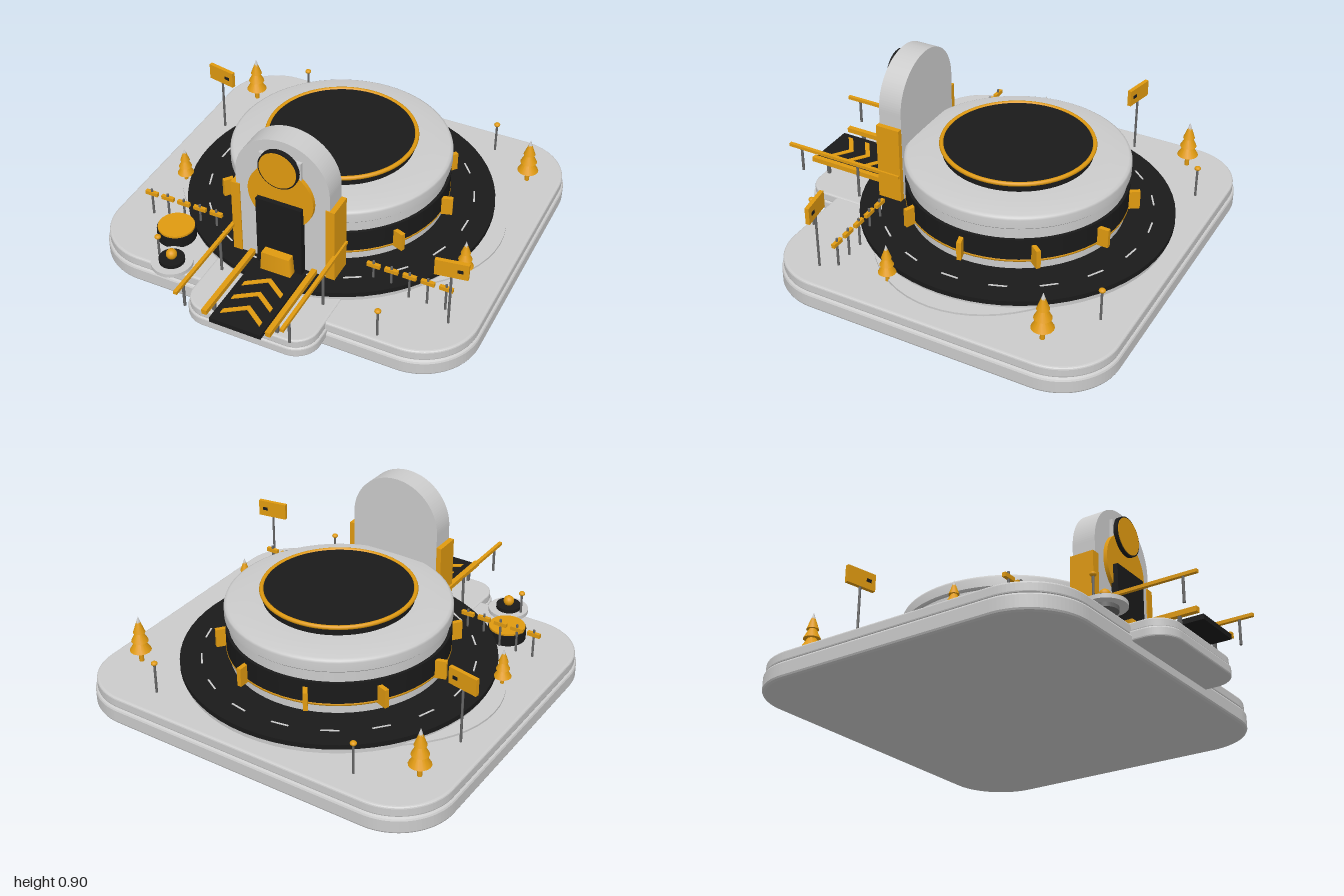
import * as THREE from 'three';

const mat = (color) => new THREE.MeshStandardMaterial({ color });
const WHITE = mat(0xcccccc), ORANGE = mat(0xe09a10), BLACK = mat(0x1a1a1a), STEEL = mat(0x666666);
const CZ = -0.145; // centre of the round building and road

export function createModel() {
  const root = new THREE.Group();

  const add = (name, geo, material, x = 0, y = 0, z = 0, parent = root) => {
    const m = new THREE.Mesh(geo, material);
    m.name = name;
    m.position.set(x, y, z);
    parent.add(m);
    return m;
  };
  const box = (name, material, w, h, d, x, y, z, parent) =>
    add(name, new THREE.BoxGeometry(w, h, d), material, x, y, z, parent);
  // upright cylinder given by its bottom and top heights
  const drum = (name, material, r, y0, y1, x = 0, z = 0, parent = root, seg = 32, rTop = r) =>
    add(name, new THREE.CylinderGeometry(rTop, r, y1 - y0, seg), material, x, (y0 + y1) / 2, z, parent);

  // rounded slab lying flat with bevelled edges
  const slab = (name, x0, x1, z0, z1, r, y0, y1, bevel, bevelH) => {
    const a = x0 + bevel, b = x1 - bevel, c = -z1 + bevel, d = -z0 - bevel, k = r - bevel;
    const s = new THREE.Shape();
    s.moveTo(a + k, c);
    s.absarc(b - k, c + k, k, -Math.PI / 2, 0);
    s.absarc(b - k, d - k, k, 0, Math.PI / 2);
    s.absarc(a + k, d - k, k, Math.PI / 2, Math.PI);
    s.absarc(a + k, c + k, k, Math.PI, Math.PI * 1.5);
    const g = new THREE.ExtrudeGeometry(s, {
      depth: y1 - y0 - 2 * bevelH, bevelSize: bevel, bevelThickness: bevelH, bevelSegments: 3, curveSegments: 12,
    });
    g.rotateX(-Math.PI / 2);
    return add(name, g, WHITE, 0, y0 + bevelH, 0);
  };

  // base and entrance pad, each in two layers
  slab('baseLower', -0.965, 0.965, -1, 0.71, 0.29, 0, 0.09, 0.03, 0.016);
  slab('baseUpper', -0.955, 0.955, -0.99, 0.70, 0.28, 0.085, 0.14, 0.012, 0.01);
  slab('padLower', -0.333, 0.333, 0.4, 0.885, 0.12, 0.052, 0.105, 0.012, 0.01);
  slab('padUpper', -0.325, 0.325, 0.41, 0.877, 0.115, 0.1, 0.146, 0.01, 0.008);

  // road
  const apron = drum('groundEllipse', WHITE, 0.845, 0.13, 0.15, 0, CZ, root, 64);
  apron.scale.z = 0.75;
  drum('roadBed', WHITE, 0.755, 0.14, 0.168, 0, CZ, root, 64);
  drum('road', BLACK, 0.765, 0.168, 0.192, 0, CZ, root, 64);
  for (let i = 0; i < 18; i++) {
    const a = (i + 0.5) * Math.PI / 9 + Math.PI / 2;
    const dash = box('roadDash', WHITE, 0.008, 0.004, 0.085, Math.cos(a) * 0.66, 0.193, CZ + Math.sin(a) * 0.66);
    dash.rotation.y = -a;
  }

  // round building
  drum('buildingFoot', WHITE, 0.525, 0.19, 0.245, 0, CZ, root, 64);
  drum('windowBand', BLACK, 0.54, 0.25, 0.36, 0, CZ, root, 64);
  drum('upperWall', WHITE, 0.525, 0.36, 0.42, 0, CZ, root, 64);
  const trim = add('footTrim', new THREE.TorusGeometry(0.53, 0.012, 8, 64), ORANGE, 0, 0.247, CZ);
  trim.rotation.x = Math.PI / 2;
  const roofPts = [[0, 0.418], [0.536, 0.418], [0.536, 0.418], [0.543, 0.425], [0.543, 0.425], [0.543, 0.468],
    [0.539, 0.479], [0.526, 0.486], [0.45, 0.494], [0.35, 0.5], [0, 0.5]].map(p => new THREE.Vector2(...p));
  add('roof', new THREE.LatheGeometry(roofPts, 64), WHITE, 0, 0, CZ);
  drum('roofDisc', BLACK, 0.36, 0.495, 0.546, 0, CZ, root, 64);
  const rim = add('roofRim', new THREE.TorusGeometry(0.363, 0.011, 8, 64), ORANGE, 0, 0.542, CZ);
  rim.rotation.x = Math.PI / 2;
  for (let i = 0; i < 10; i++) {
    const a = i * Math.PI / 5;
    const fin = box('wallFin', ORANGE, 0.06, 0.095, 0.022, Math.cos(a) * 0.56, 0.283, CZ + Math.sin(a) * 0.56);
    fin.rotation.y = -a + 0.28;
  }

  // entrance arch
  const arch = new THREE.Shape();
  arch.moveTo(-0.238, 0.14);
  arch.lineTo(0.238, 0.14);
  arch.lineTo(0.238, 0.66);
  arch.absarc(0, 0.66, 0.238, 0, Math.PI);
  add('entranceArch', new THREE.ExtrudeGeometry(arch, { depth: 0.12, bevelEnabled: false, curveSegments: 32 }), WHITE, 0, 0, 0.355);
  const faceDisc = (name, material, r, y, z, d) => {
    add(name, new THREE.CylinderGeometry(r, r, d, 48), material, 0, y, z).rotation.x = Math.PI / 2;
  };
  faceDisc('doorHalo', ORANGE, 0.166, 0.6, 0.483, 0.024);
  box('door', BLACK, 0.23, 0.38, 0.035, 0, 0.385, 0.502);
  box('emblemBracket', WHITE, 0.21, 0.1, 0.02, 0, 0.77, 0.483);
  faceDisc('emblemBack', BLACK, 0.1, 0.765, 0.502, 0.024);
  faceDisc('emblemFace', ORANGE, 0.093, 0.765, 0.51, 0.014);

  // walkway with arrows and counter
  box('walkway', BLACK, 0.26, 0.025, 0.46, 0, 0.184, 0.72);
  box('doorStep', BLACK, 0.34, 0.02, 0.1, 0, 0.172, 0.5);
  const counter = drum('doorCounter', ORANGE, 0.11, 0.2, 0.3, 0, 0.537, root, 4, 0.1);
  counter.geometry.rotateY(Math.PI / 4);
  counter.scale.z = 0.36;
  const chevron = new THREE.Shape([[0, 0], [0.1, -0.07], [0.1, -0.098], [0, -0.028], [-0.1, -0.098], [-0.1, -0.07]]
    .map(p => new THREE.Vector2(...p)));
  const chevronGeo = new THREE.ExtrudeGeometry(chevron, { depth: 0.006, bevelEnabled: false }).rotateX(-Math.PI / 2);
  for (let i = 0; i < 3; i++) add('walkwayArrow', chevronGeo, ORANGE, 0, 0.195, 0.605 + i * 0.1);

  // one lattice of barrier panels, pillars and rails per side
  for (const s of [-1, 1]) {
    box('archPillar', ORANGE, 0.046, 0.41, 0.125, s * 0.241, 0.385, 0.418);
    box('walkwayCurb', ORANGE, 0.026, 0.025, 0.46, s * 0.161, 0.208, 0.71);
    for (const z of [0.56, 0.85]) box('curbFoot', STEEL, 0.015, 0.06, 0.015, s * 0.161, 0.17, z);
    box('handrail', ORANGE, 0.018, 0.016, 0.64, s * 0.265, 0.332, 0.68);
    for (const z of [0.6, 0.93]) drum('handrailPost', STEEL, 0.007, z > 0.9 ? 0.2 : 0.14, 0.33, s * 0.265, z, root, 8);
    for (let i = 0; i < 5; i++) {
      const x = s * (0.415 + i * 0.09);
      box('barrierPanel', ORANGE, 0.066, 0.02, 0.018, x, 0.265, 0.38);
      drum('barrierPost', STEEL, 0.006, 0.14, 0.29, x, 0.38, root, 8);
    }
  }

  // signs on posts
  for (const [x, z, turn] of [[-0.82, -0.41, -0.2], [0.82, 0.455, 0.16]]) {
    const sign = new THREE.Group();
    sign.name = 'sign';
    sign.position.set(x, 0, z);
    sign.rotation.y = turn;
    root.add(sign);
    drum('signPost', STEEL, 0.006, 0.13, 0.44, 0, 0, sign, 8);
    box('signBoard', ORANGE, 0.155, 0.085, 0.02, 0, 0.465, 0, sign);
    box('signMark', BLACK, 0.026, 0.016, 0.026, 0.04, 0.465, 0, sign);
  }

  // trees of three stacked cones
  for (const [x, z, k] of [[-0.79, -0.715, 1], [0.79, -0.68, 1], [-0.765, 0.085, 0.8], [0.765, 0.12, 0.8]]) {
    const tree = new THREE.Group();
    tree.name = 'tree';
    tree.position.set(x, 0.135, z);
    tree.scale.setScalar(k);
    root.add(tree);
    drum('trunk', ORANGE, 0.012, 0, 0.08, 0, 0, tree, 8);
    [[0.053, 0.068, 0.15], [0.042, 0.12, 0.195], [0.03, 0.168, 0.24]].forEach(([r, a, b]) =>
      drum('foliage', ORANGE, r, a, b, 0, 0, tree, 16, 0.004));
    drum('treeTip', WHITE, 0.016, 0.205, 0.252, 0, 0, tree, 12, 0.001);
  }

  // lamps
  for (const [x, z, h] of [[-0.545, -0.857, 0.3], [0.555, -0.847, 0.3], [-0.565, 0.665, 0.285], [0.565, 0.665, 0.285]]) {
    drum('lampPole', STEEL, 0.006, 0.13, h, x, z, root, 8);
    add('lampHead', new THREE.SphereGeometry(0.016, 12, 8), ORANGE, x, h, z).scale.y = 0.7;
  }

  // round plaque and small fountain beside the entrance
  drum('plaqueBase', BLACK, 0.095, 0.14, 0.196, -0.585, 0.475);
  drum('plaqueTop', ORANGE, 0.09, 0.19, 0.206, -0.585, 0.475);
  drum('fountainFoot', STEEL, 0.06, 0.135, 0.16, -0.49, 0.675);
  drum('fountainBasin', WHITE, 0.1, 0.155, 0.175, -0.49, 0.675);
  drum('fountainBowl', BLACK, 0.062, 0.17, 0.195, -0.49, 0.675);
  add('fountainBall', new THREE.SphereGeometry(0.027, 16, 12), ORANGE, -0.49, 0.215, 0.675);

  return root;
}
